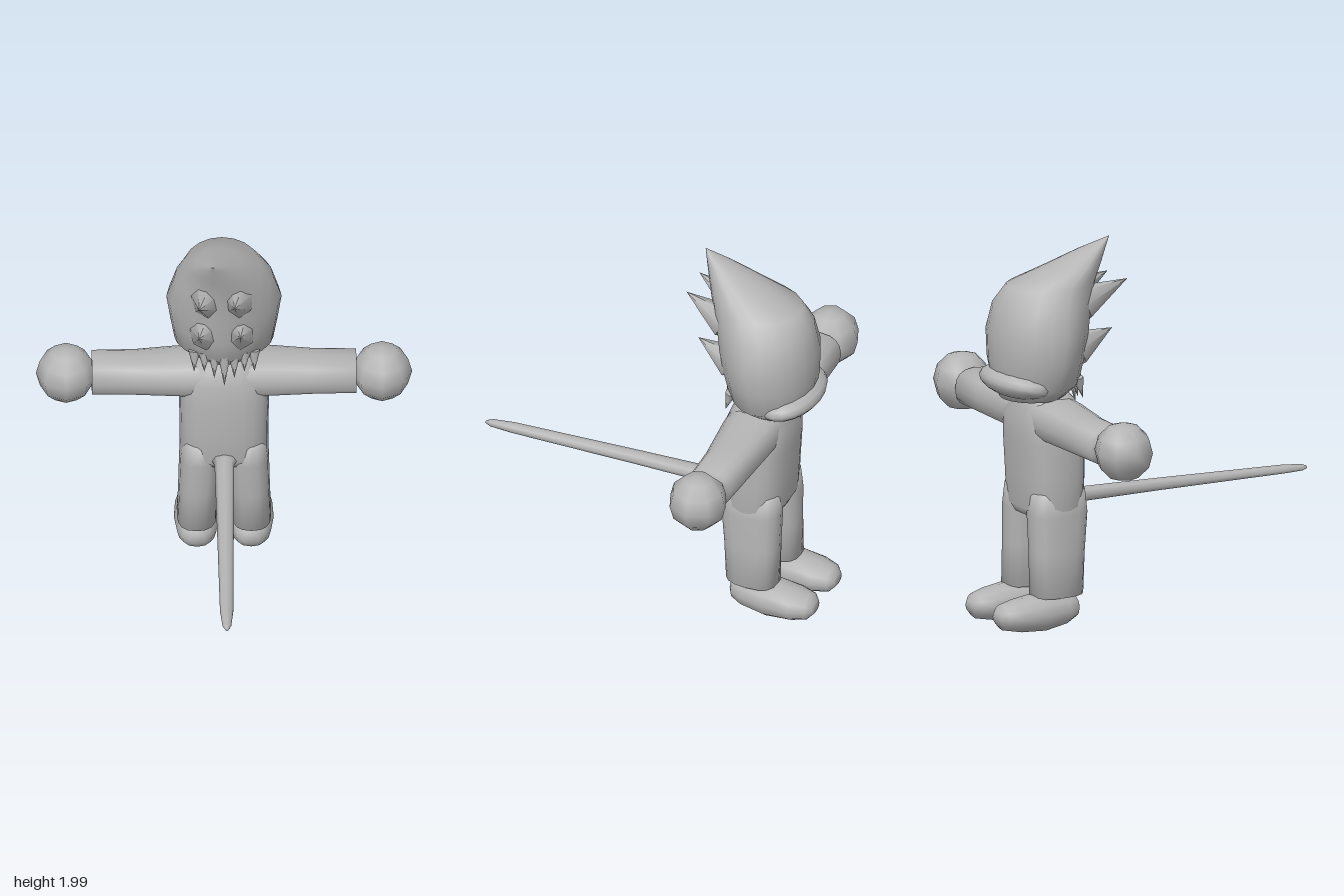
import * as THREE from 'three';

const grey = new THREE.MeshStandardMaterial({ color: 0xb4b4b4 });
grey.name = 'plain grey';

// Closed tube of elliptical rings [t, centreX, centreZ, radiusX, radiusZ],
// power < 1 is boxier, power > 1 is more pointed (front half, back half)
function loft(rings, segs = 16, front = 1, back = front) {
  const pos = [], idx = [];
  const n = rings.length;
  const bend = (v, p) => Math.sign(v) * Math.pow(Math.abs(v), p);
  for (const [t, cx, cz, rx, rz] of rings) {
    for (let j = 0; j < segs; j++) {
      const a = (j / segs) * Math.PI * 2;
      const p = Math.sin(a) > 0 ? back : front;
      pos.push(cx + rx * bend(Math.cos(a), p), t, cz + rz * bend(Math.sin(a), p));
    }
  }
  for (const r of [rings[0], rings[n - 1]]) pos.push(r[1], r[0], r[2]);
  const low = n * segs, high = low + 1;
  for (let j = 0; j < segs; j++) {
    const k = (j + 1) % segs;
    for (let i = 0; i < n - 1; i++) {
      const a = i * segs + j, b = i * segs + k;
      idx.push(a, a + segs, b, b, a + segs, b + segs);
    }
    const top = (n - 1) * segs;
    idx.push(low, j, k, high, top + k, top + j);
  }
  const g = new THREE.BufferGeometry();
  g.setAttribute('position', new THREE.Float32BufferAttribute(pos, 3));
  g.setIndex(idx);
  g.computeVertexNormals();
  return g;
}

// Turn a loft so that its length runs along x or z
const alongX = new THREE.Matrix4().set(0, 1, 0, 0, 0, 0, 1, 0, 1, 0, 0, 0, 0, 0, 0, 1);
const alongZ = new THREE.Matrix4().set(0, 0, 1, 0, 1, 0, 0, 0, 0, 1, 0, 0, 0, 0, 0, 1);

export function createModel() {
  const model = new THREE.Group();
  const add = (name, geometry, parent = model) => {
    const mesh = new THREE.Mesh(geometry, grey);
    mesh.name = name;
    parent.add(mesh);
    return mesh;
  };
  // Cone from a base point to a tip
  const spike = (name, base, tip, rx, rz, parent) => {
    const a = new THREE.Vector3(...base), b = new THREE.Vector3(...tip);
    const dir = b.clone().sub(a);
    const g = new THREE.ConeGeometry(1, dir.length(), 7);
    g.scale(rx, 1, rz);
    const m = add(name, g, parent);
    m.position.copy(a).add(b).multiplyScalar(0.5);
    m.quaternion.setFromUnitVectors(new THREE.Vector3(0, 1, 0), dir.normalize());
  };

  // Torso with sloping shoulders
  add('torso', loft([
    [0.59, 0, -0.59, 0.2, 0.14],
    [0.63, 0, -0.59, 0.225, 0.16],
    [0.8, 0, -0.59, 0.225, 0.17],
    [0.98, 0, -0.595, 0.23, 0.175],
    [1.1, 0, -0.6, 0.22, 0.17],
    [1.18, 0, -0.6, 0.17, 0.14],
    [1.24, 0, -0.62, 0.12, 0.11],
  ], 20, 0.75));

  // Both arms as one sleeve across the shoulders
  add('arms', loft([
    [-0.67, -0.605, 1.08, 0.115, 0.1],
    [-0.45, -0.605, 1.08, 0.125, 0.098],
    [-0.2, -0.6, 1.09, 0.145, 0.108],
    [0, -0.6, 1.1, 0.15, 0.11],
    [0.2, -0.6, 1.09, 0.145, 0.108],
    [0.45, -0.605, 1.08, 0.125, 0.098],
    [0.67, -0.605, 1.08, 0.115, 0.1],
  ], 16, 0.8).applyMatrix4(alongX));

  for (const s of [1, -1]) {
    const side = s > 0 ? 'left' : 'right';

    add(side + 'Hand', new THREE.SphereGeometry(0.153, 8, 6)).position.set(s * 0.8, 1.08, -0.6);

    add(side + 'Leg', loft([
      [0.18, s * 0.139, -0.605, 0.1, 0.14],
      [0.4, s * 0.132, -0.598, 0.1, 0.147],
      [0.6, s * 0.122, -0.59, 0.105, 0.16],
      [0.72, s * 0.115, -0.59, 0.1, 0.15],
    ], 16, 0.8));

    add(side + 'Foot', loft([
      [-0.95, 0.095, s * 0.135, 0.03, 0.045],
      [-0.92, 0.095, s * 0.135, 0.065, 0.08],
      [-0.84, 0.095, s * 0.138, 0.082, 0.108],
      [-0.7, 0.1, s * 0.14, 0.098, 0.113],
      [-0.57, 0.107, s * 0.138, 0.085, 0.1],
      [-0.51, 0.11, s * 0.137, 0.06, 0.075],
      [-0.49, 0.11, s * 0.137, 0.03, 0.04],
    ], 12, 0.9).applyMatrix4(alongZ));
  }

  // Long thin tail
  add('tail', loft([
    [-0.48, 0.64, 0, 0.06, 0.08],
    [-0.4, 0.64, 0, 0.04, 0.05],
    [0.1, 0.627, 0, 0.033, 0.043],
    [0.8, 0.604, 0, 0.024, 0.034],
    [0.92, 0.598, 0, 0.018, 0.022],
    [0.95, 0.596, 0, 0.007, 0.008],
  ], 8).applyMatrix4(alongZ));

  // Head, narrowing to a swept peak
  const head = new THREE.Group();
  head.name = 'head';
  model.add(head);
  add('skull', loft([
    [1.2, 0, -0.66, 0.17, 0.17],
    [1.27, 0, -0.64, 0.25, 0.22],
    [1.4, 0, -0.635, 0.272, 0.25],
    [1.54, 0, -0.625, 0.292, 0.262],
    [1.68, 0, -0.6, 0.25, 0.262],
    [1.78, -0.01, -0.555, 0.195, 0.245],
    [1.86, -0.03, -0.44, 0.125, 0.155],
    [1.93, -0.045, -0.345, 0.065, 0.08],
    [1.99, -0.06, -0.25, 0.003, 0.003],
  ], 20, 1, 1.2), head);

  // Broad muzzle across the lower face
  const muzzle = add('muzzle', new THREE.SphereGeometry(1, 20, 10), head);
  muzzle.scale.set(0.25, 0.08, 0.16);
  muzzle.position.set(0, 1.285, -0.76);
  muzzle.rotation.x = 0.15;

  // Large hair spikes
  spike('upperHairSpike', [-0.09, 1.67, -0.42], [-0.13, 1.775, -0.18], 0.08, 0.1, head);
  spike('upperHairSpike', [0.07, 1.67, -0.42], [0.05, 1.775, -0.19], 0.08, 0.1, head);
  spike('lowerHairSpike', [-0.1, 1.44, -0.46], [-0.13, 1.53, -0.27], 0.08, 0.1, head);
  spike('lowerHairSpike', [0.08, 1.44, -0.46], [0.08, 1.535, -0.27], 0.08, 0.1, head);

  // Fringe of small spikes at the neck
  const fringe = [[-0.15, 1.19], [-0.1, 1.2], [-0.05, 1.17], [0, 1.13], [0.05, 1.17], [0.1, 1.2], [0.15, 1.19]];
  for (const [x, y] of fringe) {
    const z = -0.43 - Math.abs(x) * 0.3;
    spike('neckHairSpike', [x, 1.3, z - 0.01], [x * 1.02, y, z + 0.02], 0.032, 0.03, head);
  }
  return model;
}
